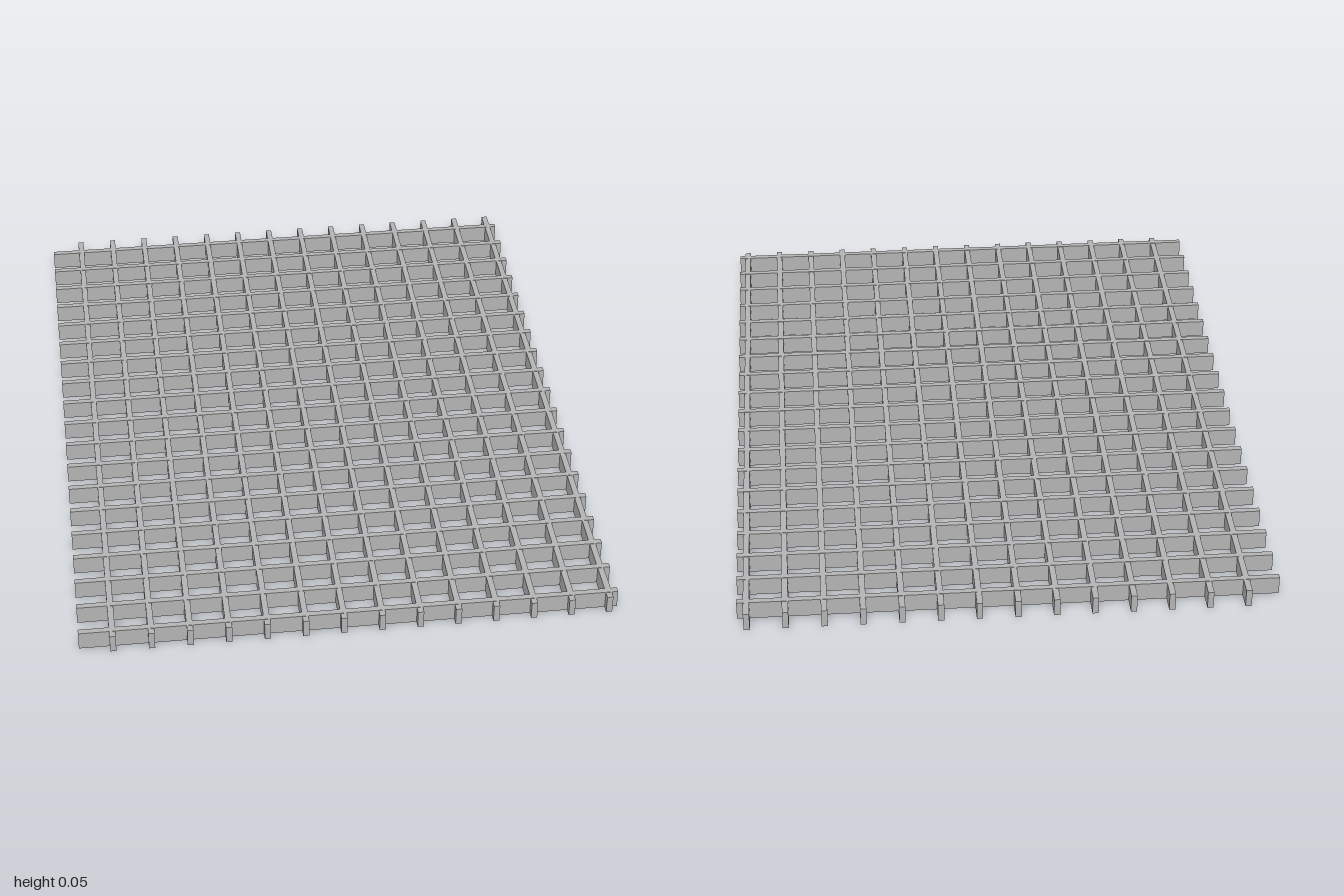
import * as THREE from 'three';

export function createModel() {
  const model = new THREE.Group();
  model.name = 'grating';
  const steel = new THREE.MeshStandardMaterial({ color: 0xb4b4b4 });
  steel.name = 'grey steel';

  const pitch = 0.1062, thickness = 0.017, height = 0.053, lift = 0.001;

  // Evenly spaced row of identical flat bars standing on edge
  function addBars(name, count, geometry, place) {
    const row = new THREE.Group();
    row.name = name + 's';
    for (let i = 0; i < count; i++) {
      const bar = new THREE.Mesh(geometry, steel);
      bar.name = name;
      place(bar.position, i * pitch);
      row.add(bar);
    }
    model.add(row);
  }

  // Long bars, front to back
  addBars('longBar', 14, new THREE.BoxGeometry(thickness, height, 2),
    (p, d) => p.set(-0.657 + d, height / 2, 0));

  // Cross bars, side to side, raised a hair above the long bars
  addBars('crossBar', 19, new THREE.BoxGeometry(1.5, height, thickness),
    (p, d) => p.set(0, height / 2 + lift, -0.941 + d));

  return model;
}
